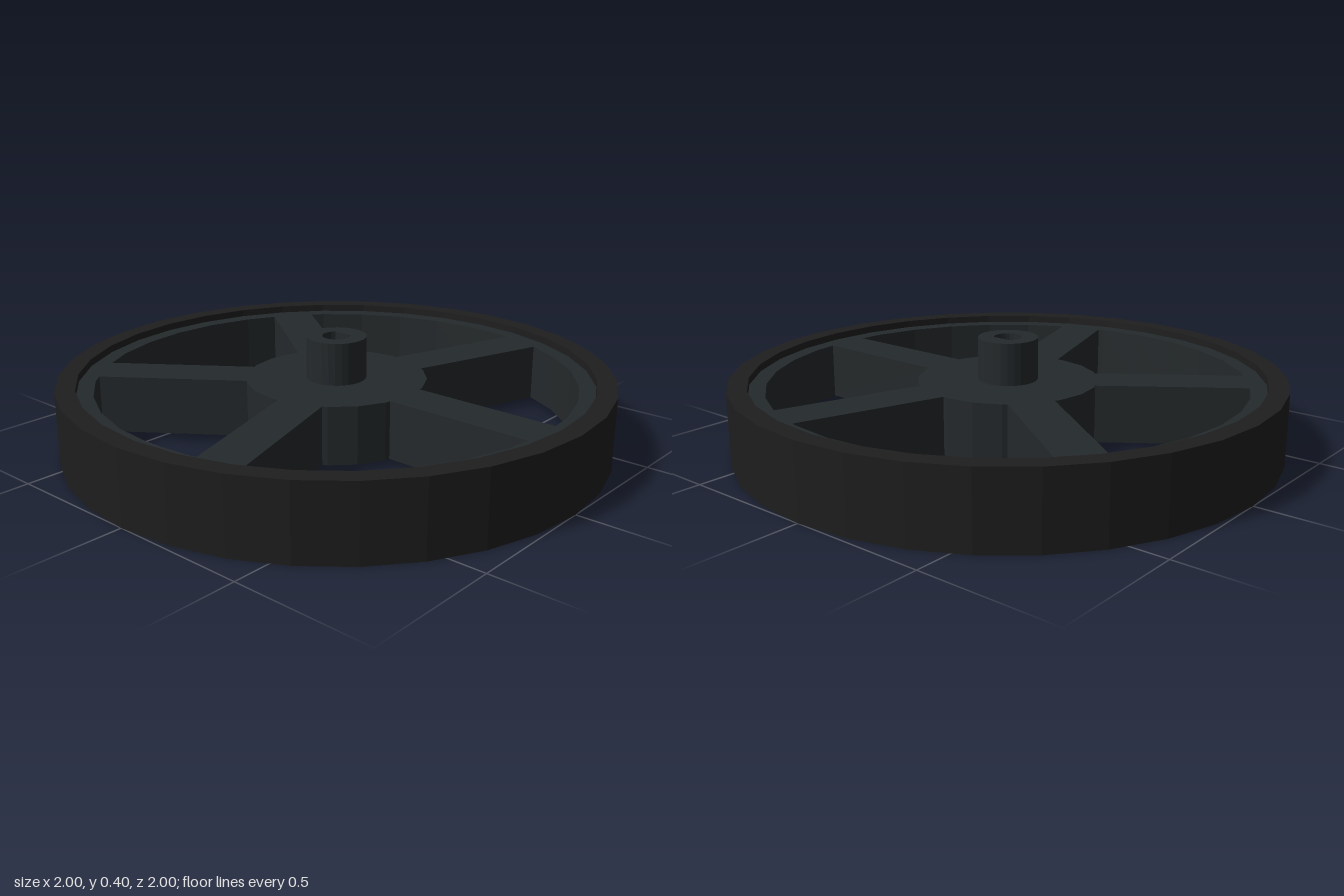
import * as THREE from 'three';

const BOTTOM = 0.027, TOP = 0.24, HEIGHT = 0.267;

const material = (color) => new THREE.MeshStandardMaterial({ color, flatShading: true });

// Square-section ring around the y axis
function ring(inner, outer, y0, y1, mat, name) {
  const profile = [[inner, y0], [outer, y0], [outer, y1], [inner, y1], [inner, y0]]
    .map(([r, y]) => new THREE.Vector2(r, y));
  const mesh = new THREE.Mesh(new THREE.LatheGeometry(profile, 32), mat);
  mesh.name = name;
  return mesh;
}

// Points along an arc
function arc(radius, start, end, segments) {
  return Array.from({ length: segments + 1 }, (_, i) => {
    const a = start + (end - start) * i / segments;
    return new THREE.Vector2(radius * Math.cos(a), radius * Math.sin(a));
  });
}

// Upright polygonal drum pierced by a D-shaped shaft bore
function boredDrum(radius, sides, y0, y1, mat, name) {
  const shape = new THREE.Shape(arc(radius, 0, Math.PI * 2, sides).slice(0, -1));
  const flat = Math.asin(0.7);
  shape.holes.push(new THREE.Path(arc(0.052, Math.PI - flat, Math.PI * 2 + flat, 16)));
  const geometry = new THREE.ExtrudeGeometry(shape, { depth: y1 - y0, bevelEnabled: false });
  geometry.rotateX(-Math.PI / 2).translate(0, y0, 0);
  const mesh = new THREE.Mesh(geometry, mat);
  mesh.name = name;
  return mesh;
}

export function createModel() {
  const wheel = new THREE.Group();
  wheel.name = 'wheel';
  const rubber = material(0x1e1e1e);
  const plastic = material(0x24292b);

  // Tyre stands slightly proud of the rim on both sides
  wheel.add(ring(0.93, 1, 0, HEIGHT, rubber, 'tyre'));
  wheel.add(ring(0.87, 0.93, BOTTOM, TOP, plastic, 'rim'));

  // Hub and the raised shaft collar
  wheel.add(boredDrum(0.33, 20, BOTTOM, TOP, plastic, 'hub'));
  wheel.add(boredDrum(0.109, 28, TOP, 0.395, plastic, 'shaftCollar'));

  // Five straight spokes
  const spokeGeometry = new THREE.BoxGeometry(0.59, TOP - BOTTOM, 0.166);
  spokeGeometry.translate(0.595, (TOP + BOTTOM) / 2, 0);
  for (let i = 0; i < 5; i++) {
    const spoke = new THREE.Mesh(spokeGeometry, plastic);
    spoke.name = `spoke${i + 1}`;
    spoke.rotation.y = i * Math.PI * 2 / 5;
    wheel.add(spoke);
  }
  return wheel;
}
